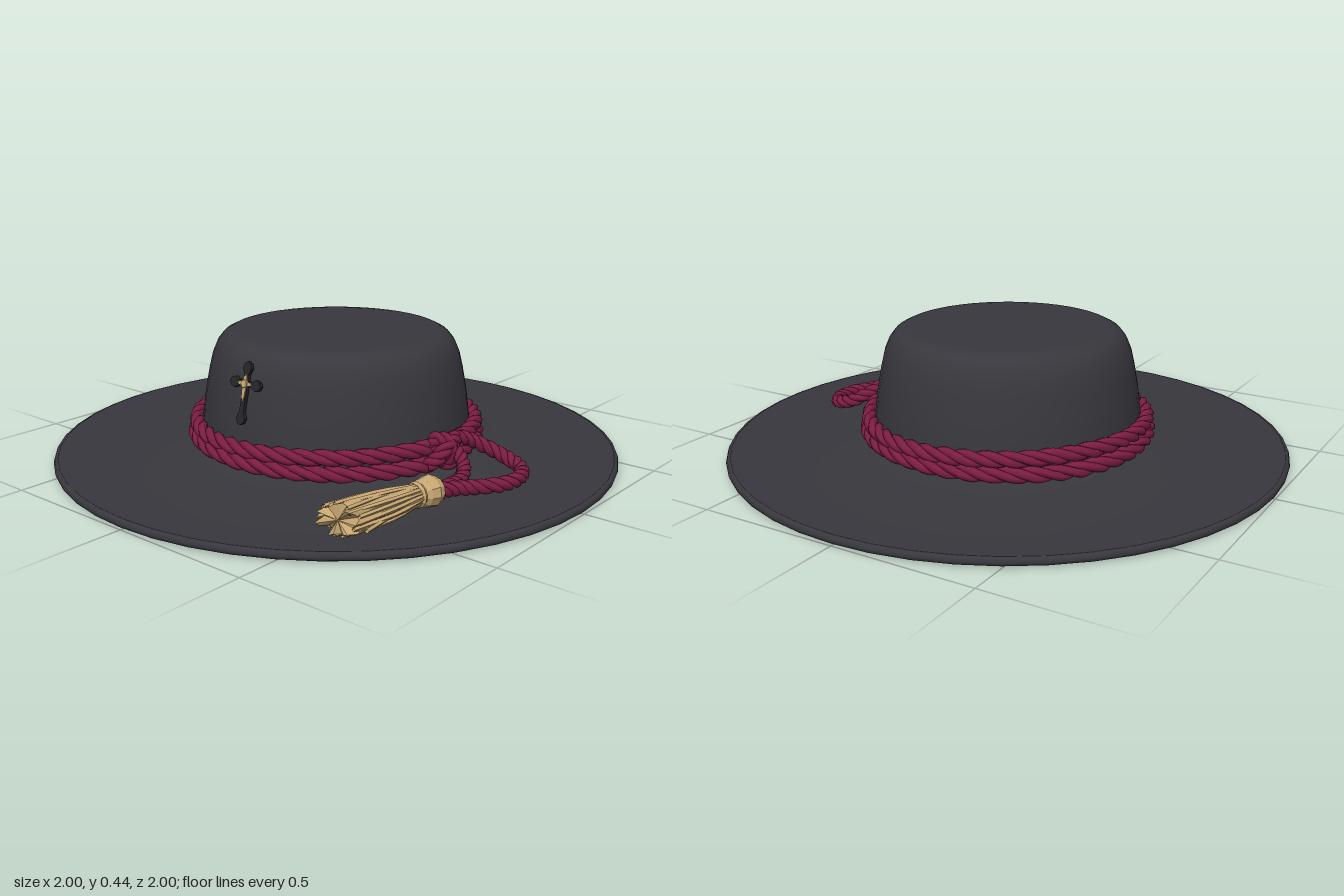
import * as THREE from 'three';

const V = (x, y, z) => new THREE.Vector3(x, y, z);
const mat = (name, color, extra = {}) => {
  const m = new THREE.MeshStandardMaterial({ color, ...extra });
  m.name = name;
  return m;
};

// A strand that winds around a base curve
class Strand extends THREE.Curve {
  constructor(base, turns, phase, offset) {
    super();
    Object.assign(this, { base, turns, phase, offset });
  }
  getPoint(t, out = V(0, 0, 0)) {
    const p = this.base.getPoint(t), tan = this.base.getTangent(t);
    const side = V(0, 1, 0).cross(tan).normalize();
    const up = tan.clone().cross(side);
    const a = this.phase + t * this.turns * Math.PI * 2;
    return out.copy(p).addScaledVector(side, Math.cos(a) * this.offset).addScaledVector(up, Math.sin(a) * this.offset);
  }
}

export function createModel() {
  const hat = new THREE.Group();
  hat.name = 'hat';
  const felt = mat('charcoalFelt', 0x38373d);
  const cord = mat('crimsonCord', 0x7e1d43);
  const gold = mat('paleGold', 0xc6a672, { flatShading: true, side: THREE.DoubleSide });
  const iron = mat('darkIron', 0x25252b);

  const add = (parent, name, geo, material) => {
    const m = new THREE.Mesh(geo, material);
    m.name = name;
    parent.add(m);
    return m;
  };
  const lathe = (parent, name, pts, material, seg = 48) =>
    add(parent, name, new THREE.LatheGeometry(pts.map(p => new THREE.Vector2(...p)), seg), material);

  // Felt body
  lathe(hat, 'brimUnderside', [[0, 0.004], [0.985, 0.004]], felt);
  lathe(hat, 'brimEdge', [[0.985, 0.004], [0.997, 0.01], [1, 0.02], [0.996, 0.031], [0.985, 0.034]], felt);
  lathe(hat, 'brimTop', [[0.985, 0.034], [0.8, 0.037], [0.62, 0.046], [0.52, 0.056], [0.47, 0.075]], felt);
  lathe(hat, 'crown', [[0.48, 0.06], [0.477, 0.14], [0.465, 0.23], [0.45, 0.31], [0.437, 0.365], [0.42, 0.405],
    [0.4, 0.43], [0.375, 0.443], [0.34, 0.447], [0.2, 0.447], [0, 0.447]], felt);

  // Twisted ropes
  const rope = (name, base, turns, r, seg, closed) => {
    const g = new THREE.Group();
    g.name = name;
    for (let i = 0; i < 3; i++)
      add(g, 'strand', new THREE.TubeGeometry(new Strand(base, turns, i * Math.PI * 2 / 3, r * 0.48), seg, r * 0.56, 6, closed), cord);
    hat.add(g);
    return g;
  };
  const ring = (r, y, wave) => {
    const pts = [];
    for (let i = 0; i < 24; i++) {
      const a = i / 24 * Math.PI * 2;
      pts.push(V(r * Math.cos(a), y + wave * Math.sin(a * 2 + 0.6), r * Math.sin(a)));
    }
    return new THREE.CatmullRomCurve3(pts, true);
  };
  rope('upperBand', ring(0.496, 0.13, 0.005), 15, 0.028, 300, true);
  rope('lowerBand', ring(0.502, 0.083, -0.004), 14, 0.028, 300, true);

  // Knot and the two hanging cords
  const path = pts => new THREE.CatmullRomCurve3(pts.map(p => V(...p)));
  rope('knotWrap', path([[0.49, 0.06, 0.05], [0.535, 0.085, 0.045], [0.545, 0.14, 0.06], [0.505, 0.165, 0.085],
    [0.485, 0.13, 0.1]]), 2, 0.026, 50, false);
  rope('knotCross', path([[0.5, 0.13, -0.01], [0.53, 0.155, 0.025], [0.54, 0.15, 0.07], [0.525, 0.11, 0.11],
    [0.5, 0.08, 0.13]]), 2, 0.026, 50, false);
  const knot = add(hat, 'knotCore', new THREE.SphereGeometry(0.045, 12, 8), cord);
  knot.position.set(0.51, 0.125, 0.06);
  rope('longCord', path([[0.51, 0.15, 0.06], [0.535, 0.155, 0], [0.57, 0.125, -0.06], [0.64, 0.085, -0.105],
    [0.715, 0.066, -0.09], [0.757, 0.062, -0.02], [0.75, 0.062, 0.07], [0.7, 0.064, 0.155], [0.665, 0.07, 0.22],
    [0.653, 0.076, 0.3]]), 7, 0.025, 130, false);
  rope('shortCord', path([[0.51, 0.13, 0.04], [0.56, 0.12, 0.05], [0.61, 0.09, 0.085], [0.64, 0.075, 0.15],
    [0.645, 0.075, 0.22], [0.643, 0.078, 0.3]]), 4, 0.024, 80, false);

  // Tassel, modelled along its own +y and laid on the brim
  const tassel = new THREE.Group();
  tassel.name = 'tassel';
  tassel.position.set(0.648, 0.085, 0.27);
  tassel.quaternion.setFromUnitVectors(V(0, 1, 0), V(-0.08, 0, 0.42).normalize());
  hat.add(tassel);
  lathe(tassel, 'tasselKnob', [[0.012, 0], [0.04, 0.018], [0.052, 0.045], [0.046, 0.075], [0.03, 0.095]], gold, 10);
  const collar = add(tassel, 'tasselCollar', new THREE.TorusGeometry(0.032, 0.011, 6, 12), gold);
  collar.rotation.x = Math.PI / 2;
  collar.position.y = 0.1;

  // Fringe: a ridged, flaring sleeve with an uneven hem
  const fringe = new THREE.CylinderGeometry(1, 1, 1, 36, 5);
  const pos = fringe.attributes.position;
  for (let i = 0; i < pos.count; i++) {
    const t = pos.getY(i) + 0.5, x = pos.getX(i), z = pos.getZ(i);
    const a = Math.atan2(z, x), on = Math.hypot(x, z);
    const ridge = 1 + (0.06 + 0.05 * t) * Math.sin(a * 9 + t * 2);
    const hem = on * t * t * 0.018 * Math.sin(a * 7 + 1);
    pos.setXYZ(i, x * ridge * (0.032 + 0.058 * Math.pow(t, 0.8)), 0.095 + t * 0.315 + hem,
      z * ridge * (0.03 + 0.016 * Math.pow(t, 0.6)));
  }
  add(tassel, 'fringe', fringe, gold);

  // Loose threads over the fringe and a few strays
  const thread = (name, pts, r) =>
    add(tassel, name, new THREE.TubeGeometry(new THREE.CatmullRomCurve3(pts), 6, r, 4, false), gold);
  for (let i = 0; i < 18; i++) {
    const a = i / 18 * Math.PI * 2, c = Math.cos(a), s = Math.sin(a), sway = 0.012 * Math.sin(i * 2.4);
    thread('thread', [V(c * 0.03, 0.1, s * 0.028), V(c * 0.064 + sway, 0.24, s * 0.042),
      V(c * 0.09 - sway * 0.5, 0.405 + 0.015 * Math.sin(i * 1.7), s * 0.046)], 0.007);
  }
  for (const [x, y, z] of [[-0.155, 0.32, 0.02], [-0.145, 0.335, 0.01], [-0.13, 0.35, 0], [0.115, 0.4, 0.02]])
    thread('strayThread', [V(x * 0.25, 0.16, z), V(x * 0.5, 0.26, z), V(x, y, z)], 0.007);

  // Cross pinned to the front of the crown
  const cross = new THREE.Group();
  cross.name = 'cross';
  cross.position.set(0, 0.338, 0.453);
  cross.rotation.x = -0.23;
  hat.add(cross);
  const plate = (name, pts, depth, z, material) => {
    const g = new THREE.ExtrudeGeometry(new THREE.Shape(pts.map(p => new THREE.Vector2(...p))), { depth, bevelEnabled: false });
    const m = add(cross, name, g, material);
    m.position.z = z;
    return m;
  };
  // Each arm flares from a slim neck into a pointed lobe
  [[0.075, 0], [0.07, Math.PI / 2], [0.138, Math.PI], [0.07, -Math.PI / 2]].forEach(([len, turn]) => {
    const lobe = len - 0.024;
    plate('crossArm', [[-0.01, -0.01], [0.01, -0.01], [0.009, lobe - 0.02], [0.019, lobe], [0.013, len - 0.008],
      [0, len], [-0.013, len - 0.008], [-0.019, lobe], [-0.009, lobe - 0.02]], 0.012, -0.004, iron).rotation.z = turn;
    const g = len > 0.1 ? 0.062 : 0.032;
    plate('crossInlay', [[-0.009, 0], [0.009, 0], [0.006, g * 0.7], [0, g], [-0.006, g * 0.7]], 0.004, 0.008, gold).rotation.z = turn;
  });
  const boss = add(cross, 'crossBoss', new THREE.CylinderGeometry(0.013, 0.015, 0.008, 8), gold);
  boss.rotation.x = Math.PI / 2;
  boss.position.z = 0.012;

  return hat;
}
